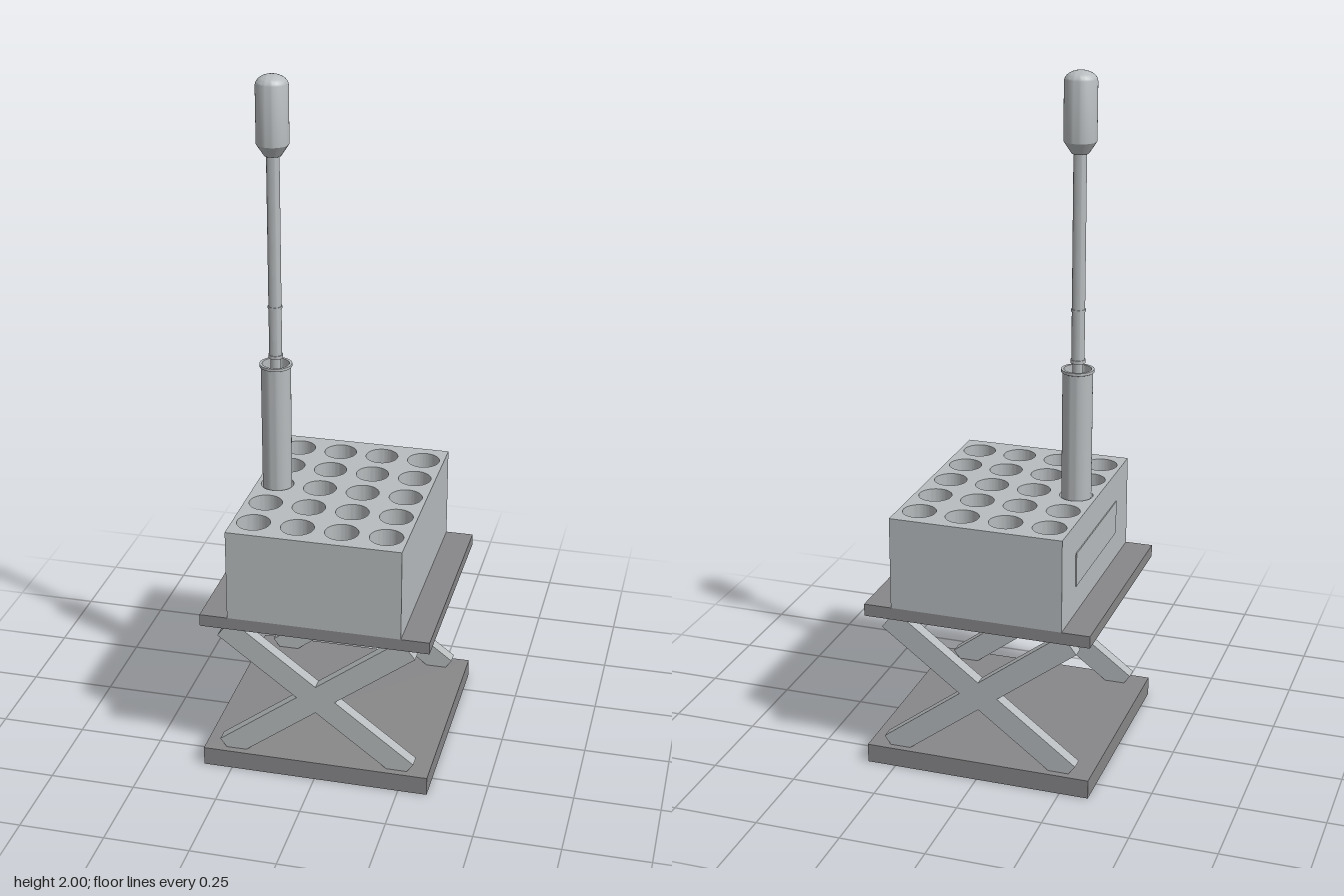
import * as THREE from 'three';
import { toCreasedNormals } from 'three/addons/utils/BufferGeometryUtils.js';

export function createModel() {
  const model = new THREE.Group();
  const mat = (name, color) => {
    const m = new THREE.MeshStandardMaterial({ color });
    m.name = name;
    return m;
  };
  const light = mat('lightMetal', 0xb8bcbe);
  const dark = mat('darkMetal', 0x88888a);

  const add = (name, geometry, material, x = 0, y = 0, z = 0, parent = model) => {
    const mesh = new THREE.Mesh(geometry, material);
    mesh.name = name;
    mesh.position.set(x, y, z);
    parent.add(mesh);
    return mesh;
  };
  const lathe = (points) => toCreasedNormals(
    new THREE.LatheGeometry(points.map(([r, y]) => new THREE.Vector2(r, y)), 40), 0.5);

  // Square plates of the lifting stand
  const plate = (name, y0, y1) =>
    add(name, new THREE.BoxGeometry(0.67, y1 - y0, 0.67), dark, 0, (y0 + y1) / 2);
  plate('basePlate', 0, 0.056);
  plate('topPlate', 0.47, 0.506);

  // Crossed scissor arms, front and back
  for (const side of [1, -1]) {
    const scissor = new THREE.Group();
    scissor.name = side > 0 ? 'frontScissor' : 'backScissor';
    scissor.position.set(0, 0.257, side * 0.295);
    model.add(scissor);
    for (const tilt of [1, -1]) {
      const arm = add('scissorArm', new THREE.BoxGeometry(0.675, 0.068, 0.038), light, 0, 0, 0, scissor);
      arm.rotation.z = tilt * 0.645;
    }
  }

  // Block drilled with a 4 by 5 grid of wells
  const outline = new THREE.Shape([[-0.253, -0.335], [0.253, -0.335], [0.253, 0.335], [-0.253, 0.335]]
    .map(([x, y]) => new THREE.Vector2(x, y)));
  for (let i = 0; i < 4; i++) {
    for (let j = 0; j < 5; j++) {
      const hole = new THREE.Path();
      hole.absarc((i - 1.5) * 0.128, (j - 2) * 0.128, 0.048, 0, Math.PI * 2, true);
      outline.holes.push(hole);
    }
  }
  const block = new THREE.ExtrudeGeometry(outline, { depth: 0.274, bevelEnabled: false, curveSegments: 32 });
  block.rotateX(-Math.PI / 2);
  add('wellBlock', toCreasedNormals(block, 0.5), light, 0, 0.506, 0);
  add('sidePanel', new THREE.BoxGeometry(0.006, 0.1, 0.41), light, -0.253, 0.64, 0);

  // Open tube standing in a well, with a small lip
  const tool = new THREE.Group();
  tool.name = 'tubeAndProbe';
  tool.position.x = -0.192;
  model.add(tool);
  add('tube', lathe([[0, 0.508], [0.043, 0.53], [0.043, 1.152], [0.047, 1.154], [0.047, 1.162],
    [0.039, 1.162], [0.039, 0.54], [0, 0.53]]), light, 0, 0, 0, tool);

  // Probe rod with joint collars
  add('probeRod', lathe([[0, 0.6], [0.015, 0.62], [0.015, 1.18], [0.021, 1.18], [0.021, 1.19],
    [0.0185, 1.19], [0.0185, 1.33], [0.0205, 1.33], [0.0205, 1.337], [0.0185, 1.337],
    [0.0185, 1.78]]), light, 0, 0, 0, tool);

  // Handle with tapered neck and domed end
  const handle = [[0, 1.775], [0.024, 1.775], [0.046, 1.808], [0.046, 1.97]];
  for (let i = 1; i <= 8; i++) {
    const a = (i / 8) * Math.PI / 2;
    handle.push([i === 8 ? 0 : 0.046 * Math.cos(a), 1.97 + 0.03 * Math.sin(a)]);
  }
  add('handle', lathe(handle), light, 0, 0, 0, tool);

  return model;
}
